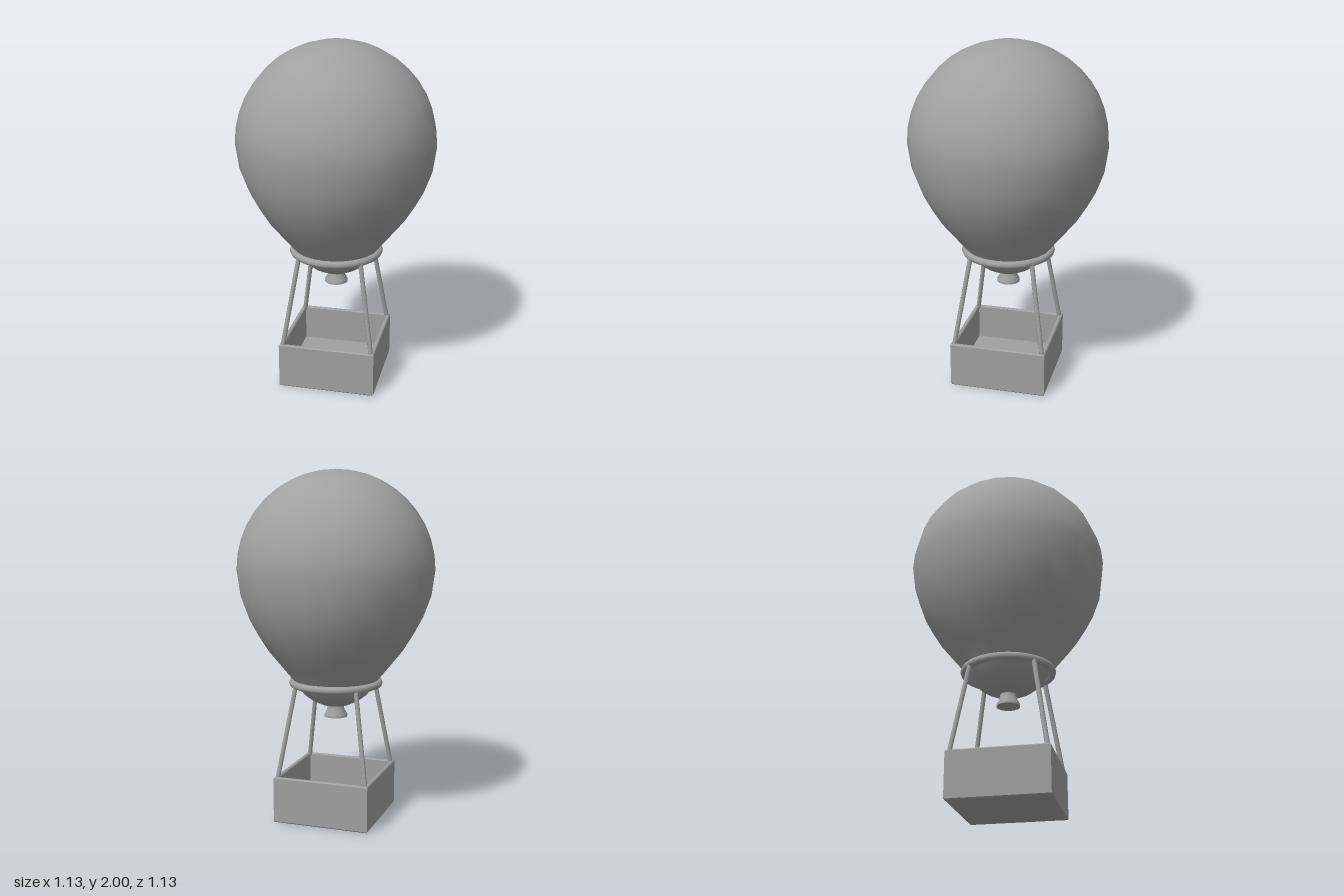
import * as THREE from 'three';
import { toCreasedNormals } from 'three/addons/utils/BufferGeometryUtils.js';

export function createModel() {
  const model = new THREE.Group();
  model.name = 'hotAirBalloon';
  const grey = new THREE.MeshStandardMaterial({ color: 0xa0a0a0 });
  grey.name = 'plainGrey';

  const add = (name, geometry) => {
    const mesh = new THREE.Mesh(geometry, grey);
    mesh.name = name;
    model.add(mesh);
    return mesh;
  };
  const lathe = (points, sides) =>
    new THREE.LatheGeometry(points.map(([r, y]) => new THREE.Vector2(r, y)), sides);

  // Envelope: rounded base, tapering skirt, then a spherical crown
  const profile = [
    [0, 0.65], [0.085, 0.66], [0.14, 0.687], [0.185, 0.722], [0.225, 0.77], [0.25, 0.81],
    [0.32, 0.895], [0.397, 0.99], [0.453, 1.08], [0.5, 1.167], [0.545, 1.29],
  ];
  const R = 0.565, centreY = 1.435;
  for (let i = 0; i <= 10; i++) {
    const a = (i / 10) * Math.PI / 2;
    profile.push([i === 10 ? 0 : R * Math.cos(a), centreY + R * Math.sin(a)]);
  }
  add('envelope', lathe(profile, 20));

  // Ring around the mouth
  const ring = add('mouthRing', new THREE.TorusGeometry(0.249, 0.022, 8, 32));
  ring.rotation.x = Math.PI / 2;
  ring.position.y = 0.787;

  // Flared burner hanging below the envelope
  const burner = [[0, 0.585], [0.067, 0.585], [0.067, 0.597], [0.05, 0.627], [0.045, 0.658], [0, 0.658]];
  add('burner', toCreasedNormals(lathe(burner, 16), 0.6));

  // Basket: square walls with softened edges, and a floor
  const square = (Type, h) => {
    const s = new Type();
    s.moveTo(-h, -h).lineTo(h, -h).lineTo(h, h).lineTo(-h, h).closePath();
    return s;
  };
  const bevel = 0.006, height = 0.267;
  const outline = square(THREE.Shape, 0.28 - bevel);
  outline.holes.push(square(THREE.Path, 0.256 + bevel));
  const walls = new THREE.ExtrudeGeometry(outline, {
    depth: height - 2 * bevel, bevelEnabled: true, bevelSize: bevel,
    bevelThickness: bevel, bevelSegments: 1,
  });
  walls.rotateX(-Math.PI / 2).translate(0, bevel, 0);
  add('basketWalls', walls);
  add('basketFloor', new THREE.BoxGeometry(0.53, 0.055, 0.53)).position.y = 0.0275;

  // Four slanted struts from basket corners to the ring
  const up = new THREE.Vector3(0, 1, 0);
  for (const sx of [-1, 1]) {
    for (const sz of [-1, 1]) {
      const low = new THREE.Vector3(sx * 0.262, 0.25, sz * 0.262);
      const high = new THREE.Vector3(sx * 0.179, 0.785, sz * 0.179);
      const dir = high.clone().sub(low);
      const strut = add('strut', new THREE.CylinderGeometry(0.0135, 0.0135, dir.length(), 8));
      strut.position.copy(low).add(high).multiplyScalar(0.5);
      strut.quaternion.setFromUnitVectors(up, dir.normalize());
    }
  }
  return model;
}
